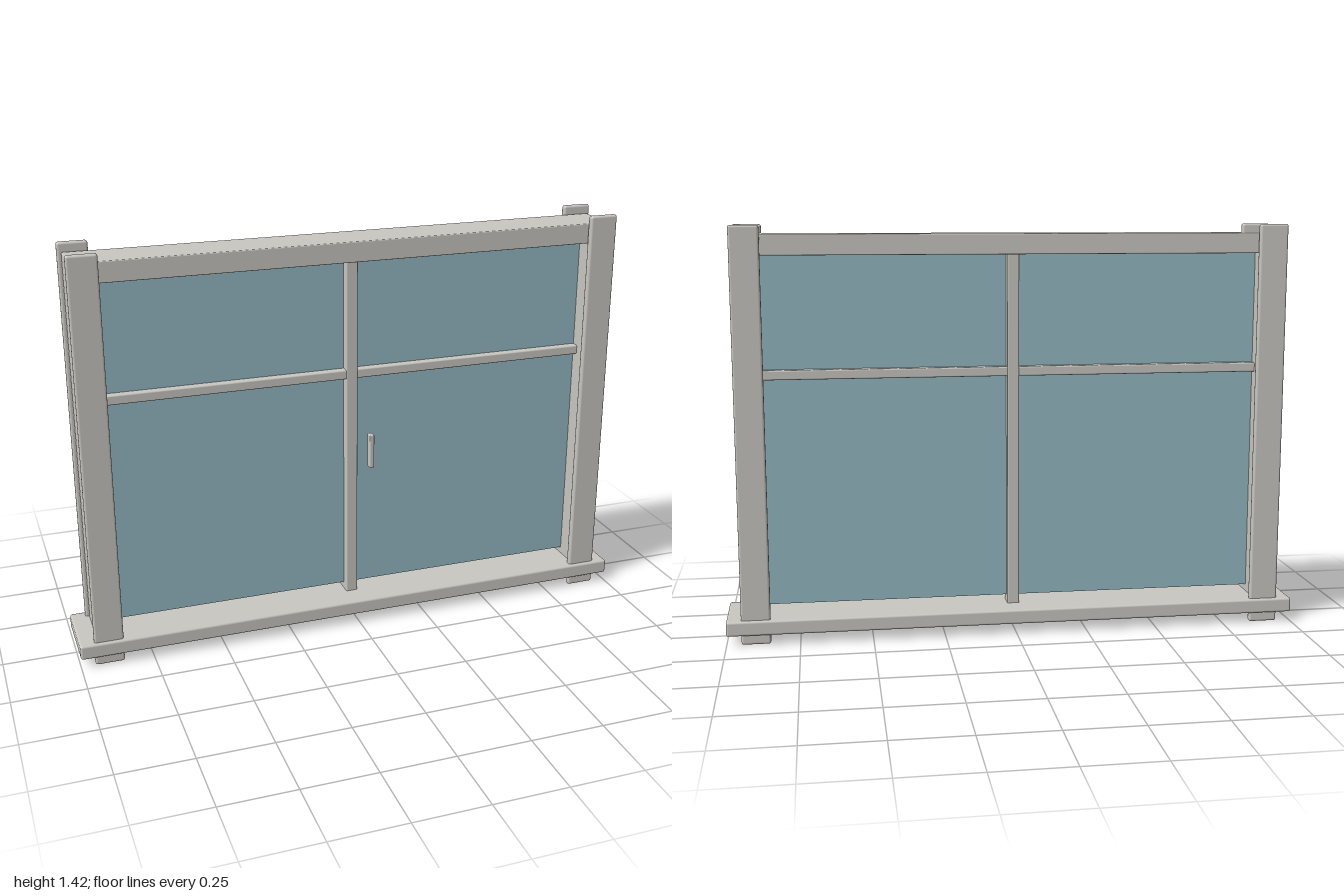
import * as THREE from 'three';
import { RoundedBoxGeometry } from 'three/addons/geometries/RoundedBoxGeometry.js';

const frame = new THREE.MeshStandardMaterial({ name: 'warm grey frame', color: 0xc8c6c0 });
const glass = new THREE.MeshStandardMaterial({ name: 'blue glass', color: 0x94b8c2 });

export function createModel() {
  const group = new THREE.Group();

  // Softly rounded bar given by its extents along each axis
  function bar(name, [x0, x1], [y0, y1], [z0, z1], radius) {
    const geometry = new RoundedBoxGeometry(x1 - x0, y1 - y0, z1 - z0, 2, radius);
    const mesh = new THREE.Mesh(geometry, frame);
    mesh.name = name;
    mesh.position.set((x0 + x1) / 2, (y0 + y1) / 2, (z0 + z1) / 2);
    group.add(mesh);
  }

  // Sill and header
  bar('sill', [-1, 1], [0.035, 0.086], [-0.124, 0.124], 0.008);
  bar('header', [-0.937, 0.937], [1.32, 1.39], [-0.083, 0.083], 0.004);

  // Side jambs, with a casing board on the front and back of each
  for (const [side, s] of [['left', 1], ['right', -1]]) {
    const span = (a, b) => (s > 0 ? [a, b] : [-b, -a]);
    bar(`${side}Jamb`, span(0.867, 0.937), [0.08, 1.388], [-0.083, 0.083], 0.004);
    bar(`${side}FrontCasing`, span(0.85, 0.95), [0, 1.42], [0.087, 0.111], 0.008);
    bar(`${side}BackCasing`, span(0.85, 0.95), [0, 1.42], [-0.111, -0.087], 0.008);
  }

  // Crossing glazing bars
  bar('mullion', [-0.021, 0.021], [0.08, 1.325], [-0.035, 0.035], 0.005);
  bar('transom', [-0.87, 0.87], [0.9, 0.933], [-0.033, 0.033], 0.005);

  // Handle on the front
  bar('handle', [0.047, 0.064], [0.583, 0.705], [0.06, 0.089], 0.004);

  // Glass pane, leaving a narrow gap above the sill
  const pane = new THREE.Mesh(new THREE.BoxGeometry(1.734, 1.215, 0.012), glass);
  pane.name = 'glassPane';
  pane.position.y = 0.11 + 1.215 / 2;
  group.add(pane);

  return group;
}
